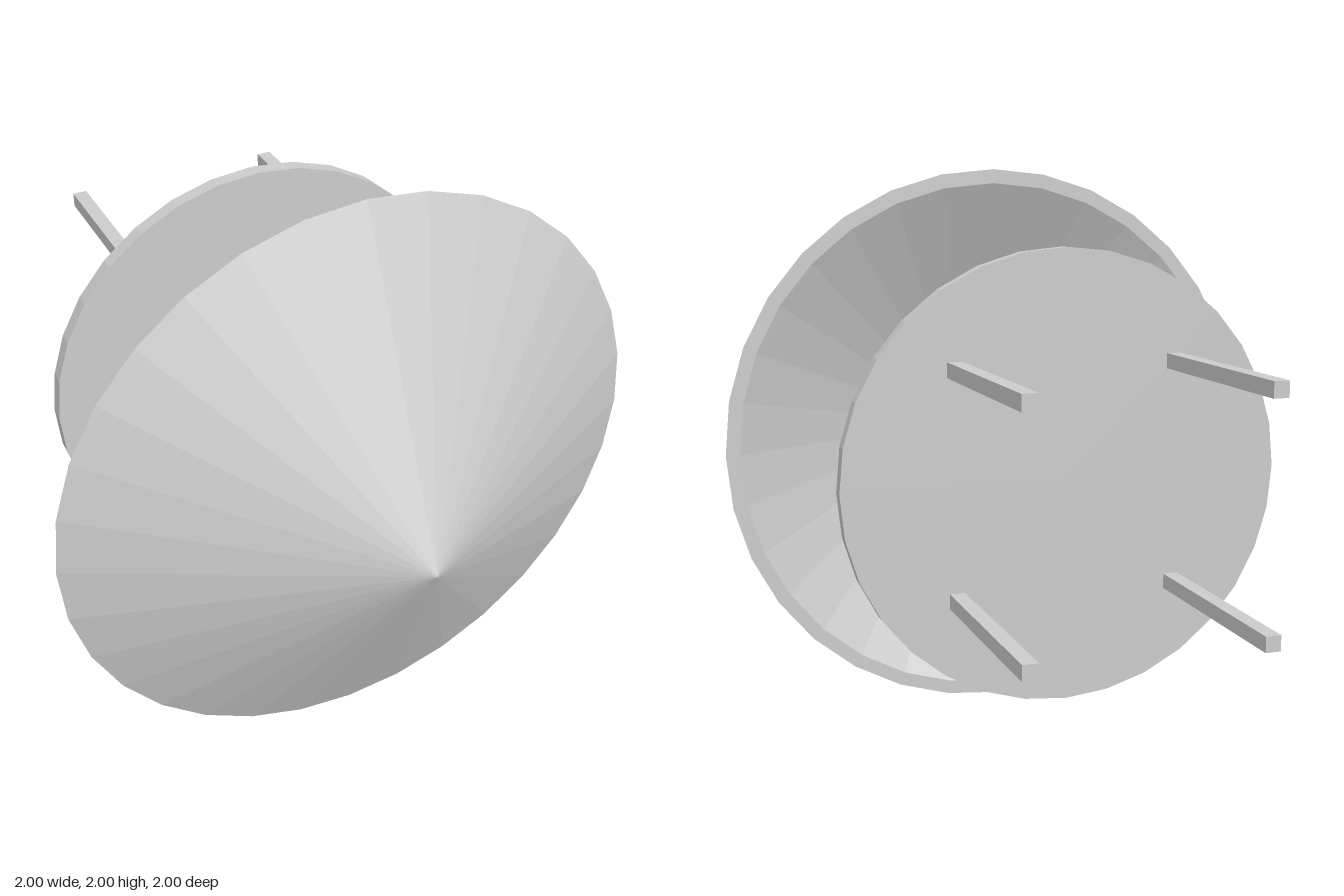
import * as THREE from 'three';

const CENTER_Y = 1;
const SIDES = 32;
const ROD = 0.05;

export function createModel() {
  const model = new THREE.Group();
  const material = new THREE.MeshStandardMaterial({ color: 0xcccccc, flatShading: true });

  const add = (name, geometry, x, y, z) => {
    const mesh = new THREE.Mesh(geometry, material);
    mesh.name = name;
    mesh.position.set(x, y, z);
    model.add(mesh);
  };

  // Square rod running along z between two depths
  const addRod = (name, x, y, zBack, zFront) =>
    add(name, new THREE.BoxGeometry(ROD, ROD, zFront - zBack), x, y, (zBack + zFront) / 2);

  // Hollow cone: inner wall, flat rim, outer wall; apex toward the front
  const profile = [[0, 0.475], [0.95, 0], [1, 0], [0, 0.5]].map(([r, h]) => new THREE.Vector2(r, h));
  add('coneShell', new THREE.LatheGeometry(profile, SIDES).rotateX(Math.PI / 2), 0, CENTER_Y, 0.5);

  // Round back plate
  add('backPlate', new THREE.CylinderGeometry(0.75, 0.75, 0.05, SIDES).rotateX(Math.PI / 2), 0, CENTER_Y, -0.25);

  // Central rod joining the plate to the inside of the cone
  addRod('centerRod', 0, CENTER_Y, -0.25, 0.97);

  // Four rods behind the plate
  for (const [side, sx] of [['Left', 1], ['Right', -1]]) {
    for (const [level, sy] of [['upper', 1], ['lower', -1]]) {
      addRod(`${level}${side}Rod`, sx * 0.375, CENTER_Y + sy * 0.375, -1, -0.25);
    }
  }

  return model;
}
